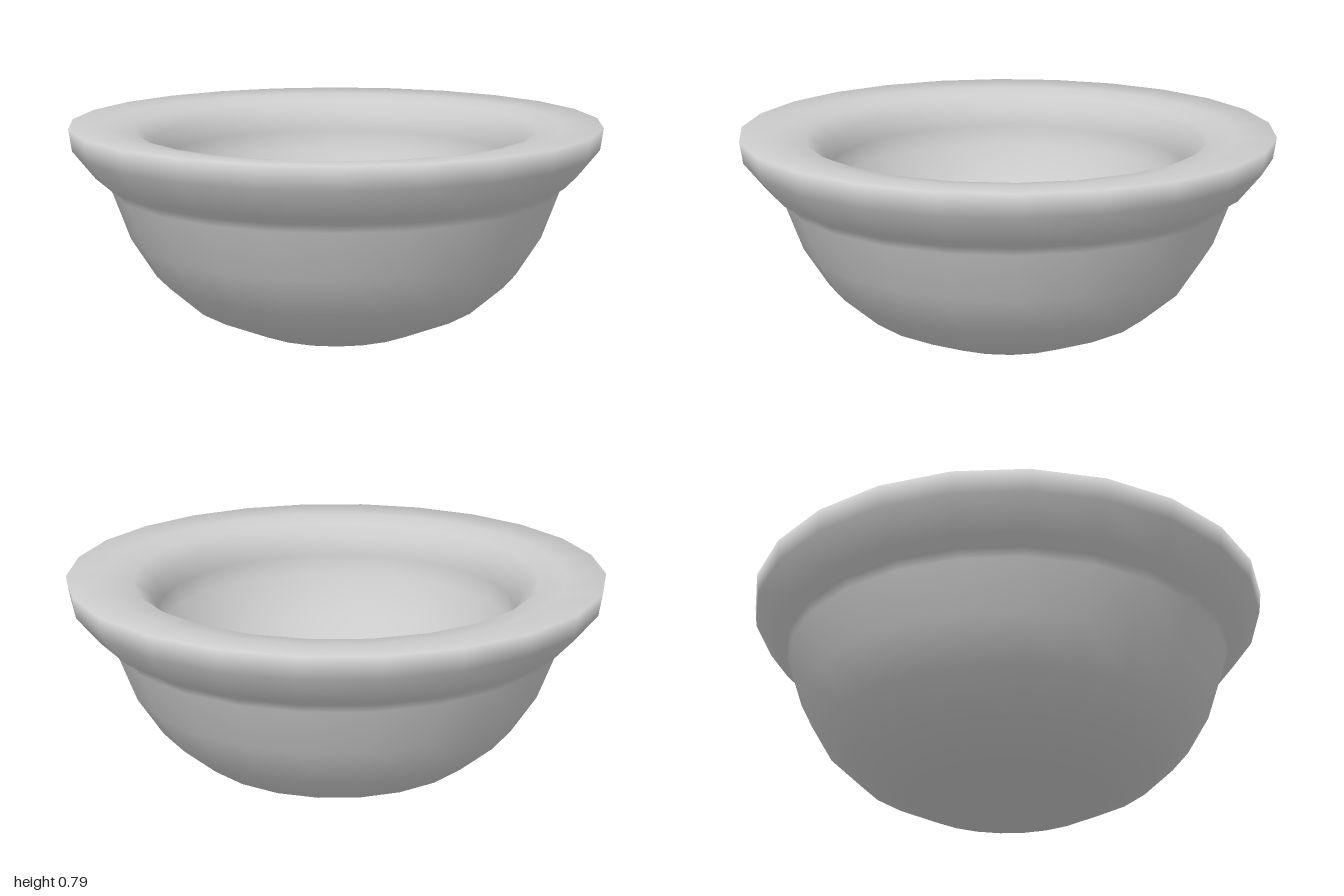
import * as THREE from 'three';

const SIDES = 24;

// Outer wall and rim as [radius, height], from the base centre over to the inside.
const SHELL = [
  // flat base and rounded outer wall
  [0, 0], [0.36, 0], [0.57, 0.10], [0.70, 0.22], [0.79, 0.37], [0.85, 0.545],
  // small step and flared collar
  [0.865, 0.575], [0.91, 0.605], [0.99, 0.71], [1, 0.79],
  // broad top rolling over into the upright inner lip
  [0.86, 0.78], [0.76, 0.762], [0.705, 0.715], [0.68, 0.64],
];

// Hollow: a dish that deepens steadily towards the centre.
const LIP_RADIUS = 0.675, LIP_HEIGHT = 0.56, FLOOR = 0.07, RINGS = 6;
const HOLLOW = Array.from({ length: RINGS + 1 }, (_, i) => {
  const t = 1 - i / RINGS;
  return [LIP_RADIUS * t, FLOOR + (LIP_HEIGHT - FLOOR) * t * t];
});

export function createModel() {
  const model = new THREE.Group();
  model.name = 'bowl';

  const clay = new THREE.MeshStandardMaterial({ color: 0xcccccc });
  clay.name = 'light grey';

  // one continuous smooth wall turned around the y axis
  const points = [...SHELL, ...HOLLOW].map(([r, y]) => new THREE.Vector2(r, y));
  const bowl = new THREE.Mesh(new THREE.LatheGeometry(points, SIDES), clay);
  bowl.name = 'bowlBody';
  model.add(bowl);

  return model;
}
